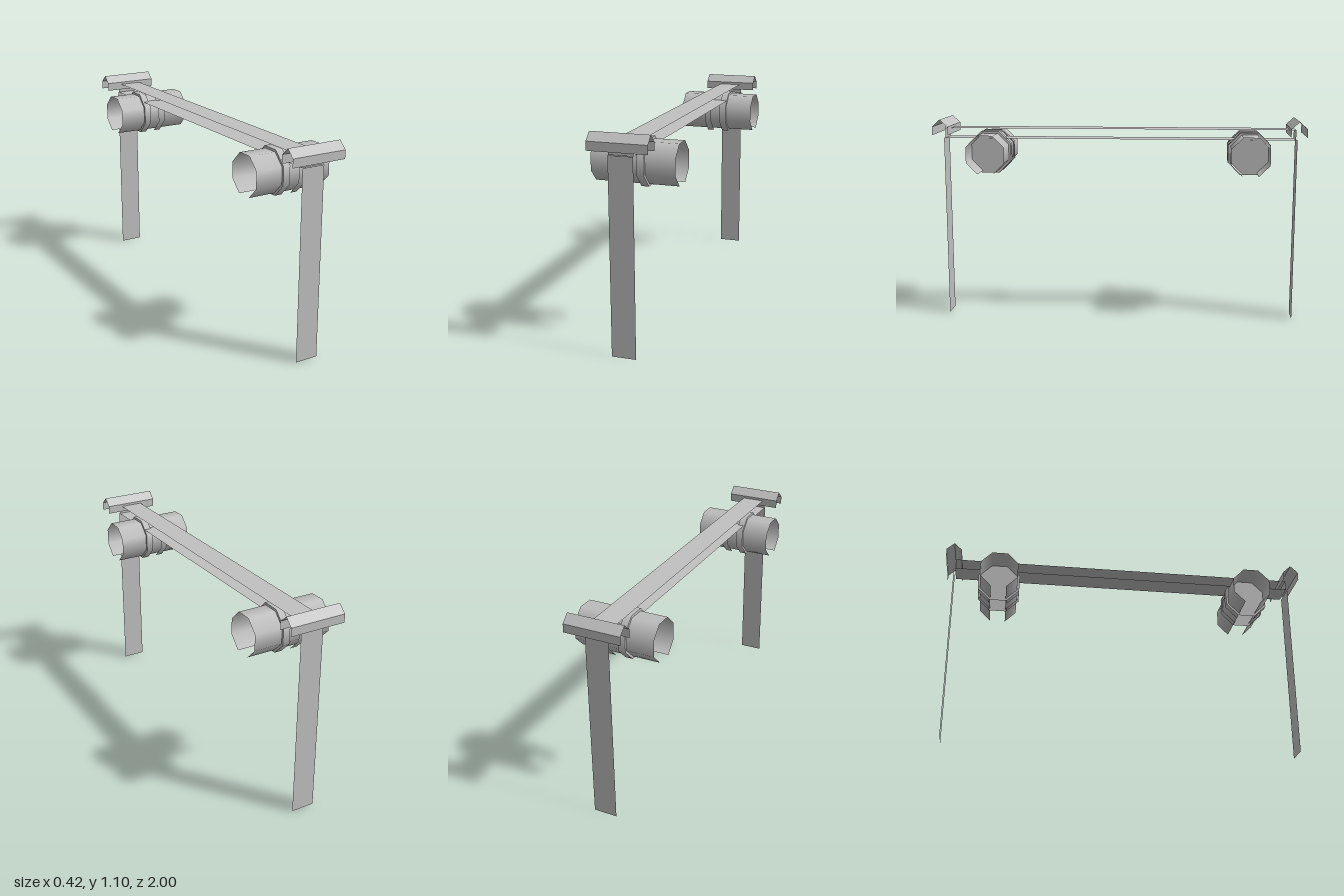
import * as THREE from 'three';

const grey = new THREE.MeshStandardMaterial({ color: 0xc0c0c0, side: THREE.DoubleSide });
grey.name = 'plain grey';

// Sweeps an open [z, y] profile across x as flat, sharp-edged panels
function panels(name, profile, x0, x1) {
  const pos = [];
  for (let i = 0; i < profile.length - 1; i++) {
    const [za, ya] = profile[i];
    const [zb, yb] = profile[i + 1];
    pos.push(x0, ya, za, x1, ya, za, x1, yb, zb);
    pos.push(x0, ya, za, x1, yb, zb, x0, yb, zb);
  }
  const geometry = new THREE.BufferGeometry();
  geometry.setAttribute('position', new THREE.Float32BufferAttribute(pos, 3));
  geometry.computeVertexNormals();
  const mesh = new THREE.Mesh(geometry, grey);
  mesh.name = name;
  return mesh;
}

// Eight-sided sleeve along x, open along its bottom panel
function sleeve(name, flatRadius, x0, x1) {
  const r = flatRadius / Math.cos(Math.PI / 8);
  const geometry = new THREE.CylinderGeometry(r, r, x1 - x0, 7, 1, true, Math.PI * 13 / 8, Math.PI * 7 / 4);
  geometry.rotateZ(Math.PI / 2).translate((x0 + x1) / 2, 0, 0);
  const mesh = new THREE.Mesh(geometry, grey);
  mesh.name = name;
  return mesh;
}

// Flat octagon closing a collar
function disc(flatRadius, x, facing) {
  const geometry = new THREE.CircleGeometry(flatRadius / Math.cos(Math.PI / 8), 8, Math.PI / 8);
  geometry.rotateY(facing * Math.PI / 2).translate(x, 0, 0);
  const mesh = new THREE.Mesh(geometry, grey);
  mesh.name = 'collarDisc';
  return mesh;
}

// Lamp-like drum: a long tube with two wider collars around its middle
function createDrum() {
  const drum = new THREE.Group();
  drum.add(sleeve('tube', 0.102, -0.213, 0.211));
  for (const [x0, x1] of [[-0.068, -0.03], [0.022, 0.06]]) drum.add(sleeve('collar', 0.114, x0, x1));
  drum.add(disc(0.114, -0.068, -1), disc(0.114, 0.06, 1));
  return drum;
}

export function createModel() {
  const model = new THREE.Group();
  model.name = 'frame';

  // Hollow crossbeam, open at both sides
  model.add(panels('crossbeam',
    [[0.95, 0.99], [0.95, 1.045], [-0.95, 1.045], [-0.95, 0.99], [0.95, 0.99]], -0.063, 0.061));

  for (const s of [1, -1]) {
    const end = s > 0 ? 'front' : 'back';

    // Thin leg
    const z = s * 0.958;
    model.add(panels(end + 'Leg', s > 0 ? [[z, 0], [z, 0.99]] : [[z, 0.99], [z, 0]], -0.063, 0.061));

    // Gabled cap, open below and at its ends
    model.add(panels(end + 'Cap',
      [[z + 0.042, 1.014], [z + 0.042, 1.058], [z, 1.097], [z - 0.042, 1.058], [z - 0.042, 1.014]],
      -0.15, 0.148));

    // Drum hung through the beam
    const drum = createDrum();
    drum.name = end + 'Drum';
    drum.position.set(0, 0.915, s * 0.704);
    model.add(drum);
  }
  return model;
}
